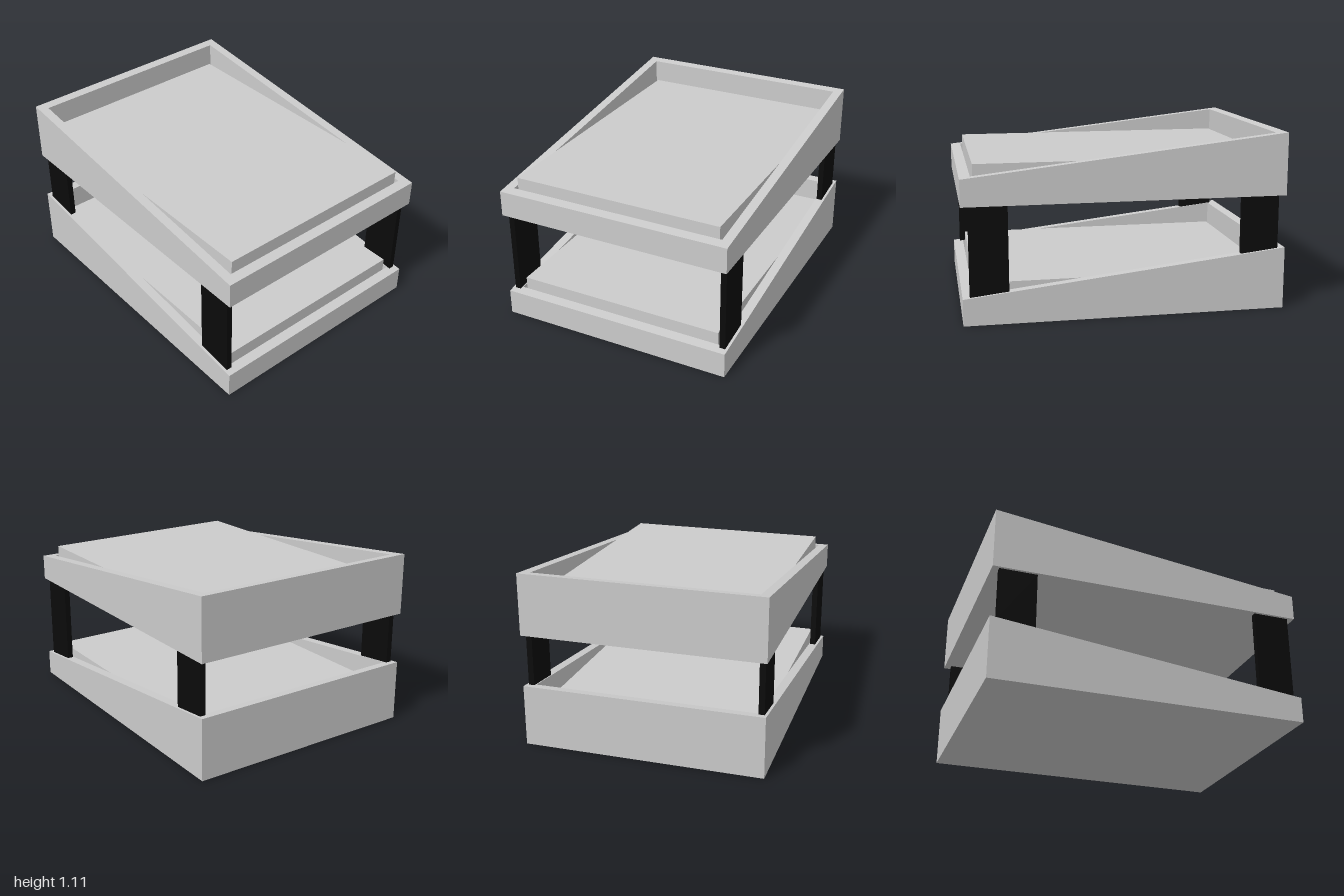
import * as THREE from 'three';

const grey = new THREE.MeshStandardMaterial({ color: 0xcccccc });
const black = new THREE.MeshStandardMaterial({ color: 0x0b0b0b });

// Height of the sloping rim at depth z (low at the front, high at the back)
const rimHeight = (z) => 0.278 - 0.113 * z;

function addMesh(parent, name, geometry, material = grey) {
  const mesh = new THREE.Mesh(geometry, material);
  mesh.name = name;
  parent.add(mesh);
  return mesh;
}

function box(x0, x1, y0, y1, z0, z1) {
  return new THREE.BoxGeometry(x1 - x0, y1 - y0, z1 - z0)
    .translate((x0 + x1) / 2, (y0 + y1) / 2, (z0 + z1) / 2);
}

function rectangle(PathType, x, z0, z1) {
  return new PathType([[-x, z0], [x, z0], [x, z1], [-x, z1]].map(([a, b]) => new THREE.Vector2(a, b)));
}

// Rectangular frame whose top edge follows the slope
function frameGeometry() {
  const outline = rectangle(THREE.Shape, 0.76, -1, 1);
  outline.holes.push(rectangle(THREE.Path, 0.7, -0.935, 0.94));
  const geo = new THREE.ExtrudeGeometry(outline, { depth: 1, bevelEnabled: false });
  geo.rotateX(-Math.PI / 2);
  const p = geo.attributes.position;
  for (let i = 0; i < p.count; i++) {
    if (p.getY(i) > 0.5) p.setY(i, rimHeight(p.getZ(i)));
  }
  geo.computeVertexNormals();
  return geo;
}

// Post standing on the sloping rim, flat on top
function postGeometry(z0, z1) {
  const geo = box(-0.0185, 0.0185, 0, 0.722, z0, z1);
  const p = geo.attributes.position;
  for (let i = 0; i < p.count; i++) {
    if (p.getY(i) < 0.1) p.setY(i, rimHeight(p.getZ(i)));
  }
  geo.computeVertexNormals();
  return geo;
}

function createTray(name) {
  const tray = new THREE.Group();
  tray.name = name;
  addMesh(tray, 'slopedFrame', frameGeometry());
  addMesh(tray, 'trayFloor', box(-0.7, 0.7, 0, 0.06, -0.94, 0.935));
  addMesh(tray, 'paperStack', box(-0.68, 0.68, 0.06, 0.241, -0.925, 0.92));
  return tray;
}

export function createModel() {
  const model = new THREE.Group();
  model.name = 'twoTierTray';

  // Two identical trays
  const upper = createTray('upperTray');
  upper.position.y = 0.722;
  model.add(createTray('lowerTray'), upper);

  // Four corner posts
  for (const side of [-1, 1]) {
    const sideName = side > 0 ? 'Left' : 'Right';
    addMesh(model, 'front' + sideName + 'Post', postGeometry(0.722, 0.957), black).position.x = side * 0.725;
    addMesh(model, 'back' + sideName + 'Post', postGeometry(-0.957, -0.722), black).position.x = side * 0.725;
  }
  return model;
}
